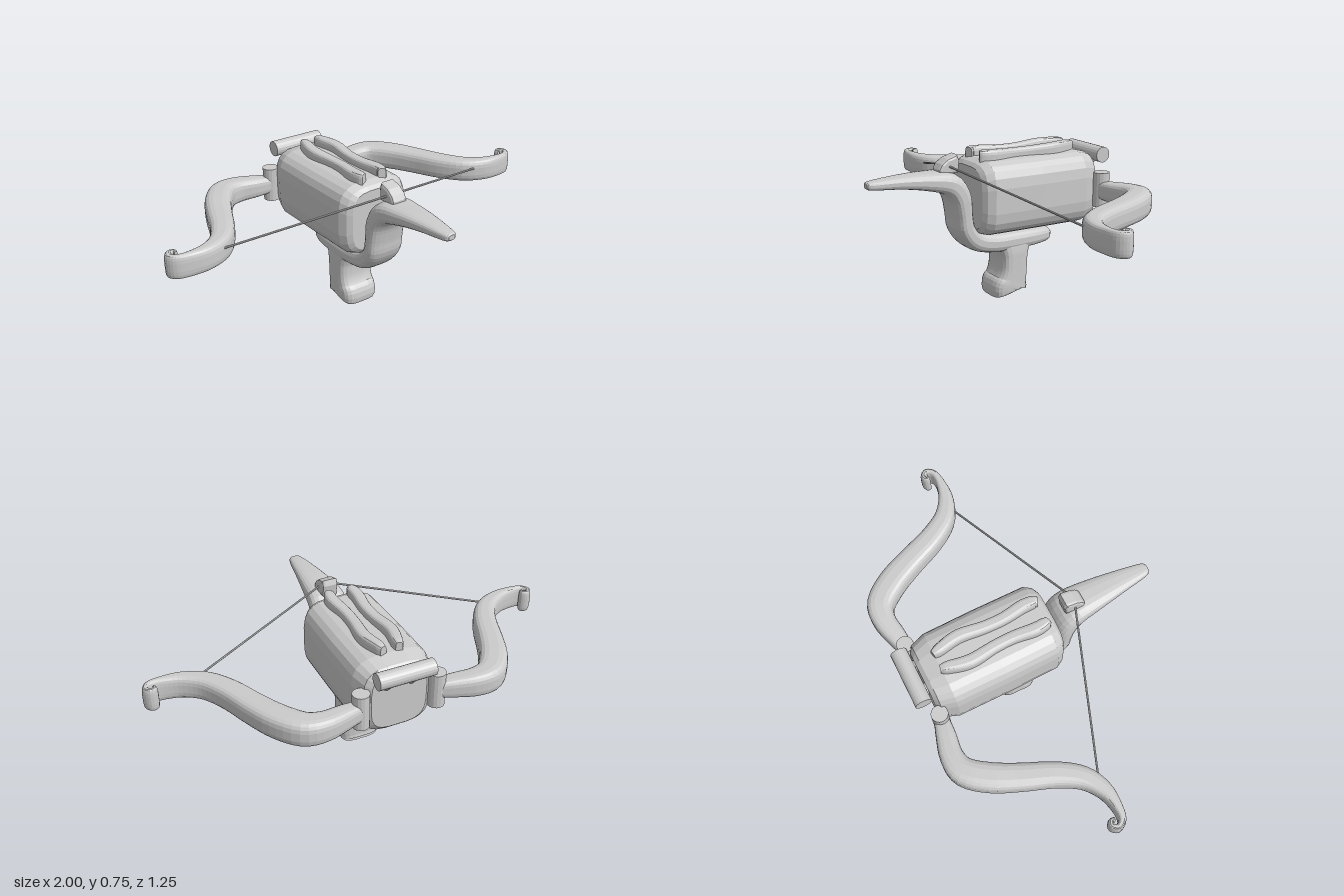
import * as THREE from 'three';

const material = new THREE.MeshStandardMaterial({ color: 0xcccccc, flatShading: true });

// Sweeps a rounded-rectangle section along a path.
// Stations: [x, y, z, half size across the axis, half size along the axis]
function sweep(stations, axis, { steps = 4, sides = 20, power = 4, tension = 0.5 } = {}) {
  const V = (x, y, z) => new THREE.Vector3(x, y, z);
  const path = new THREE.CatmullRomCurve3(stations.map(s => V(s[0], s[1], s[2])), false, 'catmullrom', tension);
  const size = new THREE.CatmullRomCurve3(stations.map(s => V(s[3], s[4], 0)), false, 'catmullrom', tension);
  const count = (stations.length - 1) * steps;
  const pos = [], index = [];
  const round = c => Math.sign(c) * Math.pow(Math.abs(c), 2 / power);
  for (let i = 0; i <= count; i++) {
    const t = i / count;
    const p = path.getPoint(t), s = size.getPoint(t);
    const across = axis.clone().cross(path.getTangent(t)).normalize();
    for (let j = 0; j < sides; j++) {
      const a = ((j + 0.5) / sides) * Math.PI * 2;
      const q = p.clone()
        .addScaledVector(across, s.x * round(Math.cos(a)))
        .addScaledVector(axis, s.y * round(Math.sin(a)));
      pos.push(q.x, q.y, q.z);
      if (i < count) {
        const k = (j + 1) % sides, a0 = i * sides + j, a1 = i * sides + k;
        index.push(a0, a1, a1 + sides, a0, a1 + sides, a0 + sides);
      }
    }
  }
  // end caps
  const first = path.getPoint(0), last = path.getPoint(1);
  const c = pos.length / 3, end = count * sides;
  pos.push(first.x, first.y, first.z, last.x, last.y, last.z);
  for (let j = 0; j < sides; j++) {
    const k = (j + 1) % sides;
    index.push(c, k, j, c + 1, end + j, end + k);
  }
  const g = new THREE.BufferGeometry();
  g.setAttribute('position', new THREE.Float32BufferAttribute(pos, 3));
  g.setIndex(index);
  g.computeVertexNormals();
  return g;
}

// Cylinder between two points
function rod(from, to, r0, r1, sides) {
  const a = new THREE.Vector3(...from), b = new THREE.Vector3(...to);
  const dir = b.clone().sub(a);
  const g = new THREE.CylinderGeometry(r1, r0, dir.length(), sides);
  g.applyQuaternion(new THREE.Quaternion().setFromUnitVectors(new THREE.Vector3(0, 1, 0), dir.normalize()));
  const m = a.add(b).multiplyScalar(0.5);
  return g.translate(m.x, m.y, m.z);
}

export function createModel() {
  const group = new THREE.Group();
  const X = new THREE.Vector3(1, 0, 0), Y = new THREE.Vector3(0, 1, 0);
  const add = (name, geometry) => {
    const mesh = new THREE.Mesh(geometry, material);
    mesh.name = name;
    group.add(mesh);
  };

  // Chunky rounded body with chamfered ends
  add('body', sweep([
    [0, 0.525, -0.54, 0.135, 0.145],
    [0, 0.525, -0.52, 0.165, 0.165],
    [0, 0.527, -0.45, 0.19, 0.182],
    [0, 0.527, -0.2, 0.193, 0.182],
    [0, 0.527, 0.06, 0.19, 0.182],
    [0, 0.525, 0.095, 0.17, 0.168],
    [0, 0.525, 0.11, 0.145, 0.15],
  ], Y, { steps: 1, power: 3.6, sides: 24, tension: 0 }));

  // Stock: pointed tail, bend down behind the body, arm beneath it
  add('stock', sweep([
    [0, 0.635, 0.625, 0.012, 0.018],
    [0, 0.635, 0.6, 0.02, 0.034],
    [0, 0.635, 0.46, 0.03, 0.058],
    [0, 0.625, 0.33, 0.042, 0.078],
    [0, 0.603, 0.22, 0.055, 0.092],
    [0, 0.54, 0.172, 0.052, 0.098],
    [0, 0.45, 0.158, 0.044, 0.098],
    [0, 0.375, 0.145, 0.046, 0.098],
    [0, 0.315, 0.09, 0.05, 0.096],
    [0, 0.291, 0, 0.05, 0.095],
    [0, 0.288, -0.12, 0.05, 0.094],
    [0, 0.289, -0.24, 0.046, 0.088],
    [0, 0.29, -0.315, 0.037, 0.07],
    [0, 0.29, -0.342, 0.016, 0.045],
  ], X, { power: 3 }));

  // Grip flaring toward its slanted foot
  add('grip', sweep([
    [0, 0.28, -0.12, 0.1, 0.09],
    [0, 0.235, -0.12, 0.08, 0.095],
    [0, 0.2, -0.12, 0.073, 0.096],
    [0, 0.14, -0.117, 0.073, 0.097],
    [0, 0.09, -0.108, 0.08, 0.098],
    [0, 0.055, -0.097, 0.094, 0.099],
    [0, 0.036, -0.1, 0.094, 0.092],
    [0, 0.028, -0.102, 0.08, 0.075],
  ], X, { power: 4 }));

  // String catch on the stock
  const outline = [[0.275, 0.65], [0.275, 0.675], [0.26, 0.7], [0.23, 0.722], [0.178, 0.738], [0.168, 0.71], [0.175, 0.65]];
  const catchShape = new THREE.Shape(outline.map(([z, y]) => new THREE.Vector2(-z, y)));
  const catchGeometry = new THREE.ExtrudeGeometry(catchShape, {
    depth: 0.05, bevelThickness: 0.015, bevelSize: 0.012, bevelOffset: -0.012, bevelSegments: 2,
  });
  add('stringCatch', catchGeometry.translate(0, 0, -0.025).rotateY(Math.PI / 2));

  // Crossbar at the far end
  add('crossbar', rod([-0.135, 0.677, -0.585], [0.135, 0.677, -0.585], 0.039, 0.039, 20));

  for (const s of [1, -1]) {
    const side = s > 0 ? 'left' : 'right';

    // Curved limb ending in a small curl
    add(side + 'Limb', sweep([
      [0.19, 0.517, -0.54, 0.035, 0.042],
      [0.27, 0.517, -0.555, 0.047, 0.05],
      [0.37, 0.517, -0.573, 0.055, 0.058],
      [0.455, 0.517, -0.552, 0.064, 0.062],
      [0.53, 0.517, -0.46, 0.066, 0.062],
      [0.59, 0.517, -0.34, 0.062, 0.06],
      [0.65, 0.518, -0.2, 0.057, 0.059],
      [0.72, 0.518, -0.095, 0.05, 0.058],
      [0.81, 0.518, -0.04, 0.038, 0.057],
      [0.9, 0.518, -0.026, 0.024, 0.057],
      [0.96, 0.518, -0.034, 0.018, 0.057],
      [0.984, 0.518, -0.064, 0.016, 0.057],
      [0.967, 0.518, -0.089, 0.014, 0.057],
      [0.945, 0.518, -0.082, 0.012, 0.057],
      [0.945, 0.518, -0.065, 0.009, 0.055],
    ].map(([x, ...rest]) => [s * x, ...rest]), Y, { power: 3.4 }));

    // Upright hinge pin, crossbar strut and wavy top rail
    add(side + 'Hinge', rod([s * 0.185, 0.435, -0.54], [s * 0.185, 0.605, -0.54], 0.04, 0.04, 16));
    add(side + 'Strut', rod([s * 0.06, 0.6, -0.52], [s * 0.06, 0.675, -0.582], 0.028, 0.028, 12));
    add(side + 'Rail', sweep([
      [s * 0.038, 0.718, -0.455, 0.016, 0.03],
      [s * 0.046, 0.718, -0.42, 0.026, 0.036],
      [s * 0.065, 0.718, -0.32, 0.03, 0.034],
      [s * 0.052, 0.714, -0.2, 0.028, 0.031],
      [s * 0.05, 0.714, -0.1, 0.028, 0.031],
      [s * 0.062, 0.716, 0, 0.03, 0.034],
      [s * 0.058, 0.716, 0.055, 0.026, 0.036],
      [s * 0.05, 0.716, 0.072, 0.018, 0.032],
    ], Y, { power: 3.5, sides: 16 }));

    // Drawn string
    add(side + 'String', rod([s * 0.745, 0.535, -0.035], [0, 0.695, 0.235], 0.005, 0.005, 8));
  }
  return group;
}
